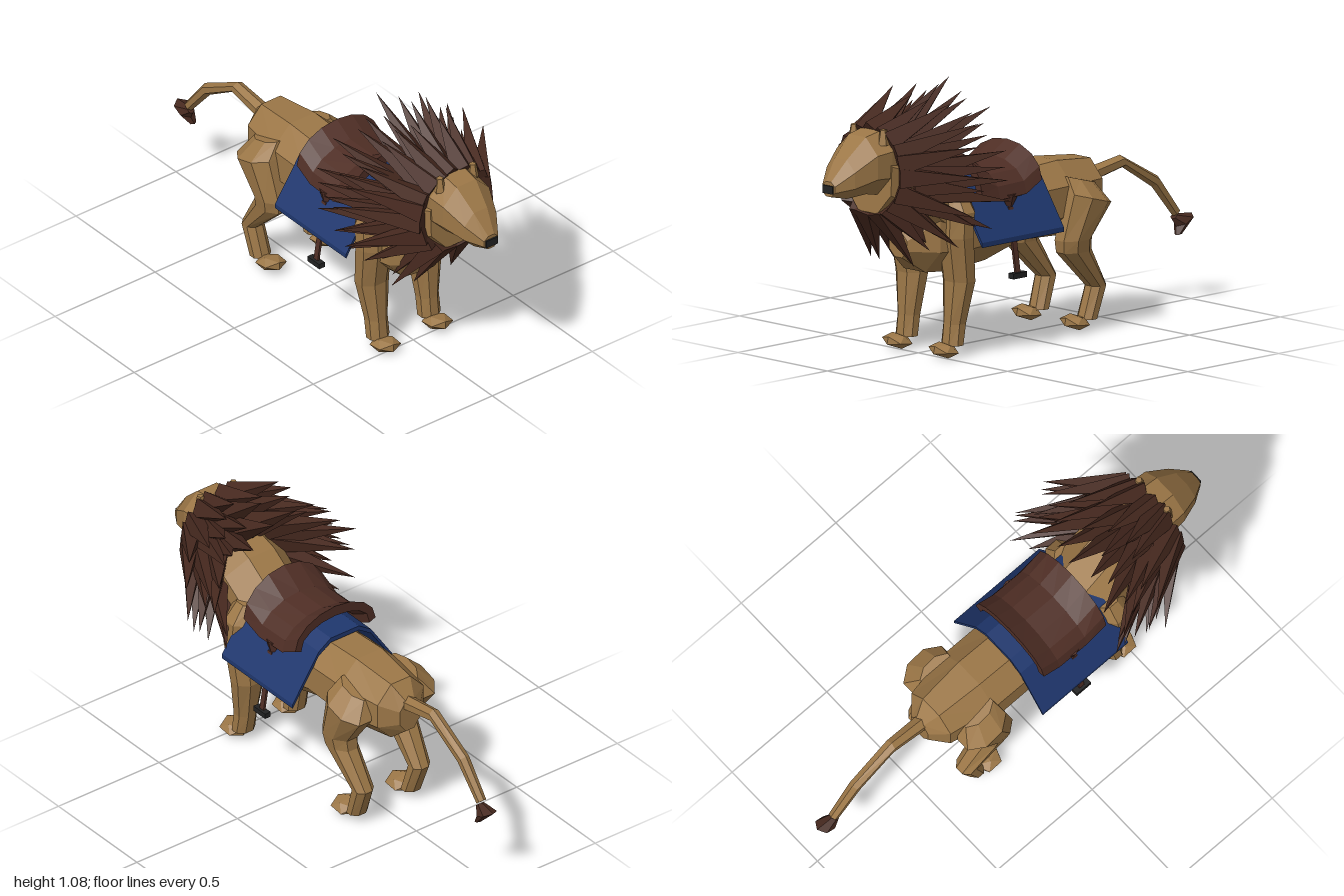
import * as THREE from 'three';

const material = (name, color) => {
  const m = new THREE.MeshStandardMaterial({ color });
  m.name = name;
  return m;
};

// Faceted skin through closed loops of points, fan-capped at both ends
function skin(loops) {
  const pos = [];
  const tri = (...pts) => pts.forEach((p) => pos.push(p.x, p.y, p.z));
  const n = loops[0].length;
  const centre = (loop) => loop.reduce((s, p) => s.add(p), new THREE.Vector3()).divideScalar(n);
  const first = loops[0], last = loops[loops.length - 1];
  const c0 = centre(first), c1 = centre(last);
  for (let k = 0; k < n; k++) {
    const m = (k + 1) % n;
    for (let i = 0; i < loops.length - 1; i++) {
      const a = loops[i], b = loops[i + 1];
      tri(a[k], a[m], b[m]);
      tri(a[k], b[m], b[k]);
    }
    tri(c0, first[m], first[k]);
    tri(c1, last[k], last[m]);
  }
  const g = new THREE.BufferGeometry();
  g.setAttribute('position', new THREE.Float32BufferAttribute(pos, 3));
  g.computeVertexNormals();
  return g;
}

// Limb from rings [x, y, z, halfWidth, halfDepth, tilt]; tilt 0 faces front, PI/2 faces down
function limb(rings, sides = 8) {
  const grow = 1 / Math.cos(Math.PI / sides);
  return skin(rings.map(([x, y, z, ru, rv, t]) => Array.from({ length: sides }, (_, k) => {
    const a = (k + 0.5) / sides * Math.PI * 2;
    const u = Math.cos(a) * ru * grow, v = Math.sin(a) * rv * grow;
    return new THREE.Vector3(x + u, y + v * Math.cos(t), z + v * Math.sin(t));
  })));
}

function flat(geometry) {
  const g = geometry.index ? geometry.toNonIndexed() : geometry;
  g.computeVertexNormals();
  return g;
}

export function createModel() {
  const fur = material('tan fur', 0x9c7747);
  const maneBrown = material('dark brown mane', 0x47291f);
  const leather = material('saddle leather', 0x4f2e25);
  const cloth = material('blue cloth', 0x1f376e);
  const black = material('black', 0x222222);

  const model = new THREE.Group();
  const add = (name, geometry, mat, parent = model) => {
    const mesh = new THREE.Mesh(geometry, mat);
    mesh.name = name;
    parent.add(mesh);
    return mesh;
  };
  const down = Math.PI / 2;

  // Body, neck and head
  add('body', limb([
    [-0.46, 0.53, 0.05, 0.07], [-0.40, 0.535, 0.115, 0.125], [-0.2, 0.53, 0.15, 0.15],
    [0, 0.53, 0.15, 0.14], [0.2, 0.495, 0.165, 0.155], [0.4, 0.49, 0.17, 0.165],
    [0.52, 0.49, 0.145, 0.155], [0.61, 0.45, 0.05, 0.05],
  ].map(([z, y, w, h]) => [0, y, z, w, h, 0])), fur);
  add('neck', limb([
    [0, 0.54, 0.38, 0.15, 0.15, -0.6], [0, 0.66, 0.56, 0.15, 0.15, -0.5], [0, 0.745, 0.77, 0.125, 0.14, -0.05],
  ]), fur);
  add('head', limb([
    [0, 0.80, 0.64, 0.11, 0.12, 0], [0, 0.808, 0.76, 0.12, 0.127, 0], [0, 0.806, 0.835, 0.115, 0.114, 0],
    [0, 0.762, 0.925, 0.08, 0.078, 0], [0, 0.728, 0.993, 0.035, 0.03, 0],
  ]), fur);
  add('nose', new THREE.BoxGeometry(0.056, 0.032, 0.02), black).position.set(0, 0.727, 0.99);

  // Legs, feet, ears and stirrups on both sides
  for (const s of [1, -1]) {
    const side = s > 0 ? 'left' : 'right';
    add(side + 'FrontLeg', limb([
      [s * 0.115, 0.655, 0.42, 0.045, 0.05, down], [s * 0.14, 0.58, 0.425, 0.072, 0.068, down],
      [s * 0.14, 0.48, 0.43, 0.073, 0.064, down],
      [s * 0.132, 0.30, 0.405, 0.068, 0.055, down], [s * 0.128, 0.13, 0.425, 0.045, 0.042, down],
      [s * 0.128, 0.045, 0.438, 0.046, 0.038, down],
    ]), fur);
    add(side + 'HindLeg', limb([
      [s * 0.115, 0.605, -0.265, 0.045, 0.075, 1.3], [s * 0.158, 0.535, -0.275, 0.074, 0.105, 1.3],
      [s * 0.15, 0.38, -0.205, 0.062, 0.077, down], [s * 0.148, 0.33, -0.21, 0.055, 0.075, down],
      [s * 0.14, 0.175, -0.338, 0.042, 0.04, down], [s * 0.135, 0.045, -0.295, 0.042, 0.035, down],
    ]), fur);
    for (const [part, x, y, z] of [['FrontFoot', 0.13, 0.03, 0.488], ['HindFoot', 0.135, 0.04, -0.228]]) {
      const foot = add(side + part, flat(new THREE.IcosahedronGeometry(1, 0)), fur);
      foot.scale.set(0.063, 0.03, 0.062);
      foot.position.set(s * x, y, z);
      foot.rotation.set(-0.12, 0, -0.12);
    }
    const ear = add(side + 'Ear', flat(new THREE.CylinderGeometry(0.014, 0.026, 0.06, 5)), fur);
    ear.position.set(s * 0.082, 0.916, 0.772);

    const flap = add(side + 'SaddleFlap', flat(new THREE.ConeGeometry(0.05, 0.07, 4)), leather);
    flap.rotation.z = Math.PI;
    flap.scale.x = 0.35;
    flap.position.set(s * 0.188, 0.583, 0.18);
    const strap = add(side + 'StirrupStrap', new THREE.BoxGeometry(0.01, 0.26, 0.025), leather);
    strap.position.set(s * 0.212, 0.44, 0.183);
    strap.rotation.z = s * 0.16;
    add(side + 'Stirrup', new THREE.BoxGeometry(0.028, 0.022, 0.075), black).position.set(s * 0.235, 0.302, 0.183);
  }

  // Tail and tuft
  add('tail', limb([
    [0, 0.575, -0.42, 0.03, 0.028, Math.PI], [0, 0.608, -0.615, 0.024, 0.023, Math.PI + 0.25],
    [0, 0.50, -0.80, 0.022, 0.022, Math.PI - 0.7], [0, 0.36, -0.915, 0.018, 0.018, Math.PI - 0.85],
  ], 6), fur);
  add('tailTuft', limb([
    [0, 0.345, -0.905, 0.014, 0.013, Math.PI - 0.85], [0.005, 0.325, -0.955, 0.034, 0.042, Math.PI - 1.1],
    [0.015, 0.275, -0.915, 0.014, 0.012, Math.PI - 1.4],
  ], 6), maneBrown);

  // Mane: rings of broad spikes swept outward and back
  let seed = 23;
  const rand = () => (seed = (seed * 16807) % 2147483647) / 2147483647;
  const jitter = (amount) => 1 + (rand() - 0.5) * amount;
  const mane = new THREE.Group();
  mane.name = 'mane';
  model.add(mane);
  const up = new THREE.Vector3(0, 1, 0);
  for (let ring = 0; ring < 3; ring++) {
    const count = 19;
    for (let k = 0; k < count; k++) {
      const a = (k + ring / 3 + (rand() - 0.5) * 0.5) / count * Math.PI * 2;
      const top = Math.cos(a), wide = Math.sin(a);
      if (ring > 1 && top < -0.8) continue;
      const low = Math.max(0, -top), high = Math.max(0, top);
      const out = (0.215 + 0.03 * low - 0.07 * high - ring * (0.01 + 0.03 * low - 0.03 * high)) * jitter(0.35);
      const back = (0.28 - 0.13 * low - 0.03 * high) * jitter(0.35);
      const base = new THREE.Vector3(wide * 0.15, 0.765 - 0.025 * ring + top * 0.15, 0.75 - 0.08 * ring);
      const dir = new THREE.Vector3(wide * out, top * out, -back);
      const length = dir.length();
      const cone = new THREE.ConeGeometry(0.055, length, 4).translate(0, length / 2, 0);
      const spike = add('maneSpike', flat(cone), maneBrown, mane);
      spike.position.copy(base);
      spike.quaternion.setFromUnitVectors(up, dir.normalize());
    }
  }

  // Saddle blanket: thin cloth folded over the back
  add('saddleBlanket', skin([
    [-0.26, 0.455], [-0.13, 0.65], [-0.07, 0.69], [0.07, 0.69], [0.13, 0.65], [0.26, 0.455],
  ].map(([x, y]) => [[-0.045, 0.01], [0.405, 0.01], [0.405, -0.01], [-0.045, -0.01]]
    .map(([z, h]) => new THREE.Vector3(x, y + h, z)))), cloth);

  // Saddle: arched seat with raised front and back, stations [z, bottom, top]
  const stations = [[0.016, 0.655, 0.79], [0.10, 0.61, 0.74], [0.245, 0.605, 0.74], [0.345, 0.64, 0.81]];
  const arch = [];
  for (let i = 0; i <= 8; i++) {
    const a = (i / 8 - 0.5) * Math.PI;
    const shell = (w, drop) => stations.map(([z, low, high]) =>
      new THREE.Vector3(w * Math.sin(a), low + (high - low - drop) * Math.cos(a), z));
    arch.push([...shell(0.2, 0), ...shell(0.17, 0.045).reverse()]);
  }
  // Side ends get a little thickness below the rim
  for (const loop of [arch[0], arch[8]]) loop.slice(4).forEach((p) => { p.y -= 0.012; });
  add('saddle', skin(arch), leather);

  return model;
}
